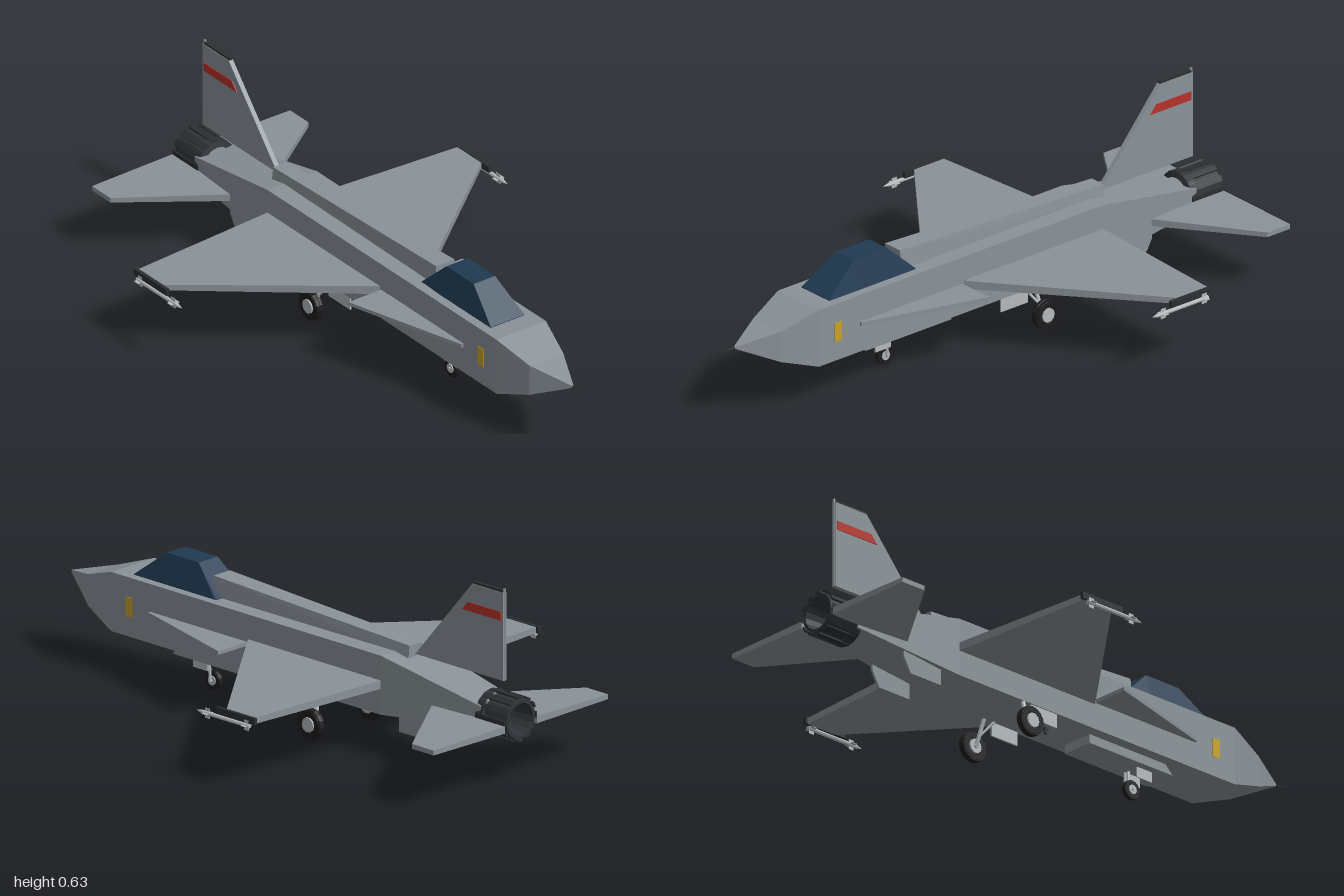
import * as THREE from 'three';

const mat = (color, side = THREE.FrontSide) =>
  new THREE.MeshStandardMaterial({ color, flatShading: true, side });

const BODY = mat(0x8a9298), PANEL = mat(0xb4b9bc), GLASS = mat(0x1f3a52), DARK = mat(0x2c2e32),
  NOZZLE = mat(0x303338, THREE.DoubleSide), TYRE = mat(0x1c1c1e), RED = mat(0xb8322a), YELLOW = mat(0xc9a227);

// Four-sided loft; sections run back to front as [z, bottom half width, top half width, y low, y high]
function loft(sections) {
  const rings = sections.map(([z, wb, wt, y0, y1]) => [[-wb, y0, z], [wb, y0, z], [wt, y1, z], [-wt, y1, z]]);
  const pos = [];
  const quad = (a, b, c, d) => pos.push(...a, ...b, ...c, ...a, ...c, ...d);
  for (let s = 0; s < rings.length - 1; s++) {
    const a = rings[s], b = rings[s + 1];
    for (let i = 0; i < 4; i++) {
      const j = (i + 1) % 4;
      quad(a[i], a[j], b[j], b[i]);
    }
  }
  const f = rings[rings.length - 1], r = rings[0];
  quad(f[0], f[1], f[2], f[3]);
  quad(r[3], r[2], r[1], r[0]);
  const g = new THREE.BufferGeometry();
  g.setAttribute('position', new THREE.Float32BufferAttribute(pos, 3));
  g.computeVertexNormals();
  return g;
}

// Horizontal surface from an [x, z] outline, thinning from root to tip around height y
function wingPlate(outline, side, y, rootT, tipT) {
  const shape = new THREE.Shape(outline.map(([x, z]) => new THREE.Vector2(x * side, -z)));
  const g = new THREE.ExtrudeGeometry(shape, { depth: 1, bevelEnabled: false });
  g.rotateX(-Math.PI / 2);
  const span = Math.max(...outline.map(p => p[0]));
  const p = g.attributes.position;
  for (let i = 0; i < p.count; i++) {
    const t = THREE.MathUtils.lerp(rootT, tipT, Math.abs(p.getX(i)) / span);
    p.setY(i, y + (p.getY(i) - 0.5) * t);
  }
  g.computeVertexNormals();
  return g;
}

// Vertical plate from a [z, y] outline, centred on x
function sidePlate(outline, x, thickness) {
  const shape = new THREE.Shape(outline.map(([z, y]) => new THREE.Vector2(-z, y)));
  const g = new THREE.ExtrudeGeometry(shape, { depth: thickness, bevelEnabled: false });
  g.translate(0, 0, -thickness / 2);
  g.rotateY(Math.PI / 2);
  return g.translate(x, 0, 0);
}

const box = (w, h, d, x, y, z) => new THREE.BoxGeometry(w, h, d).translate(x, y, z);

// Cylinder between two points
function rod(a, b, ra, rb = ra, sides = 8) {
  const A = new THREE.Vector3(...a), B = new THREE.Vector3(...b), d = B.clone().sub(A);
  const g = new THREE.CylinderGeometry(rb, ra, d.length(), sides);
  g.applyQuaternion(new THREE.Quaternion().setFromUnitVectors(new THREE.Vector3(0, 1, 0), d.normalize()));
  const m = A.add(B).multiplyScalar(0.5);
  return g.translate(m.x, m.y, m.z);
}

export function createModel() {
  const model = new THREE.Group();
  model.name = 'jetFighter';
  const add = (name, geometry, material, parent = model) => {
    const m = new THREE.Mesh(geometry, material);
    m.name = name;
    parent.add(m);
    return m;
  };
  const group = (name) => {
    const g = new THREE.Group();
    g.name = name;
    model.add(g);
    return g;
  };

  // Fuselage, nose probe, spine and canopy
  add('fuselage', loft([
    [-0.89, 0.07, 0.07, 0.178, 0.253],
    [-0.48, 0.097, 0.097, 0.135, 0.33],
    [0.70, 0.097, 0.097, 0.135, 0.33],
    [0.83, 0.066, 0.066, 0.18, 0.285],
    [0.965, 0.003, 0.003, 0.245, 0.252],
  ]), BODY);
  add('noseProbe', rod([0, 0.249, 0.95], [0, 0.249, 1], 0.004, 0.002), DARK);
  add('spine', loft([[-0.54, 0.033, 0.028, 0.32, 0.36], [0.31, 0.042, 0.036, 0.32, 0.395]]), BODY);
  add('canopy', loft([
    [0.27, 0.068, 0.062, 0.325, 0.332],
    [0.37, 0.068, 0.042, 0.325, 0.425],
    [0.51, 0.068, 0.042, 0.325, 0.425],
    [0.63, 0.068, 0.066, 0.325, 0.332],
  ]), GLASS);

  // Chin intake
  add('intake', sidePlate([[0.47, 0.105], [0.115, 0.105], [0.115, 0.14], [0.435, 0.14]], 0, 0.114), BODY);
  add('intakeMouth', box(0.1, 0.018, 0.03, 0, 0.122, 0.443), DARK);

  // Tail fin with stripe and trailing rod
  add('tailFin', sidePlate([[-0.545, 0.33], [-0.795, 0.62], [-0.93, 0.62], [-0.93, 0.33]], 0, 0.016), BODY);
  add('finStripe', sidePlate([[-0.752, 0.527], [-0.777, 0.556], [-0.922, 0.556], [-0.922, 0.527]], 0, 0.021), RED);
  add('finTrailingRod', rod([0, 0.33, -0.928], [0, 0.632, -0.928], 0.005), BODY);
  add('finCap', box(0.012, 0.008, 0.13, 0, 0.623, -0.86), DARK);

  // Exhaust nozzle with raised petals
  const exhaust = group('exhaust');
  exhaust.position.y = 0.217;
  const profile = [[0.055, 0.865], [0.074, 0.87], [0.074, 0.9], [0.068, 0.905], [0.064, 1], [0.054, 1], [0.046, 0.91], [0, 0.91]];
  add('nozzle', new THREE.LatheGeometry(profile.map(p => new THREE.Vector2(...p)), 16).rotateX(-Math.PI / 2), NOZZLE, exhaust);
  for (let i = 0; i < 12; i++) {
    const g = box(0.02, 0.006, 0.128, 0, 0.071, -0.935).rotateZ(i * Math.PI / 6);
    add('nozzlePetal', g, DARK, exhaust);
  }

  // Wheel with a hub, axle along x
  const wheel = (name, x, y, z, r, w) => {
    const g = group(name);
    g.position.set(x, y, z);
    add('tyre', new THREE.CylinderGeometry(r, r, w * 0.7, 16).rotateZ(Math.PI / 2), TYRE, g);
    add('tread', new THREE.TorusGeometry(r - w * 0.4, w * 0.45, 6, 16).rotateY(Math.PI / 2), TYRE, g);
    add('hub', new THREE.CylinderGeometry(r * 0.5, r * 0.5, w * 1.05, 10).rotateZ(Math.PI / 2), PANEL, g);
  };

  // Nose gear
  wheel('noseWheel', 0, 0.034, 0.345, 0.032, 0.02);
  add('noseStrut', rod([0.016, 0.12, 0.35], [0.016, 0.034, 0.345], 0.005), PANEL);
  add('noseAxle', rod([-0.014, 0.034, 0.345], [0.018, 0.034, 0.345], 0.005), PANEL);

  for (const s of [1, -1]) {
    const n = s > 0 ? 'left' : 'right';

    // Lifting surfaces
    add(n + 'Wing', wingPlate([[0.06, 0.13], [0.632, -0.33], [0.632, -0.45], [0.06, -0.482]], s, 0.234, 0.03, 0.02), BODY);
    add(n + 'Strake', wingPlate([[0.08, 0.53], [0.105, 0.53], [0.225, 0.105], [0.08, 0.105]], s, 0.232, 0.014, 0.012), BODY);
    add(n + 'Tailplane', wingPlate([[0.06, -0.675], [0.39, -0.905], [0.39, -1], [0.072, -1], [0.06, -0.88]], s, 0.2, 0.026, 0.016), BODY);

    // Wing tip rail and store
    const tip = group(n + 'TipStore');
    const x = 0.64 * s, y = 0.217;
    add('tipRail', box(0.012, 0.022, 0.17, 0.634 * s, 0.235, -0.375), DARK, tip);
    add('storeBody', rod([x, y, -0.44], [x, y, -0.235], 0.007), PANEL, tip);
    add('storeNose', rod([x, y, -0.235], [x, y, -0.21], 0.007, 0.001), PANEL, tip);
    for (const z of [-0.255, -0.425]) {
      add('storeFinUpright', box(0.002, 0.034, 0.02, x, y, z), PANEL, tip);
      add('storeFinLevel', box(0.034, 0.002, 0.02, x, y, z), PANEL, tip);
    }

    // Main gear
    wheel(n + 'MainWheel', 0.132 * s, 0.05, -0.21, 0.049, 0.03);
    add(n + 'MainStrut', rod([0.085 * s, 0.15, -0.2], [0.115 * s, 0.05, -0.21], 0.007), PANEL);
    add(n + 'MainAxle', rod([0.112 * s, 0.05, -0.21], [0.135 * s, 0.05, -0.21], 0.008), PANEL);
    add(n + 'MainBrace', rod([0.08 * s, 0.14, -0.16], [0.112 * s, 0.075, -0.207], 0.004), PANEL);
    add(n + 'MainDoor', box(0.006, 0.05, 0.11, 0.09 * s, 0.113, -0.115), PANEL);
    add(n + 'NoseDoor', box(0.004, 0.04, 0.065, 0.028 * s, 0.09, 0.375), PANEL);

    // Ventral fin and side marking
    add(n + 'VentralFin', sidePlate([[-0.54, 0.15], [-0.54, 0.088], [-0.67, 0.088], [-0.7, 0.14], [-0.7, 0.165]], 0.072 * s, 0.008), BODY);
    add(n + 'SidePanel', box(0.004, 0.064, 0.03, 0.097 * s, 0.233, 0.62), YELLOW);
  }

  // Belly antenna
  add('bellyAntenna', sidePlate([[-0.005, 0.14], [-0.015, 0.112], [-0.028, 0.112], [-0.025, 0.14]], 0, 0.006), DARK);

  return model;
}
